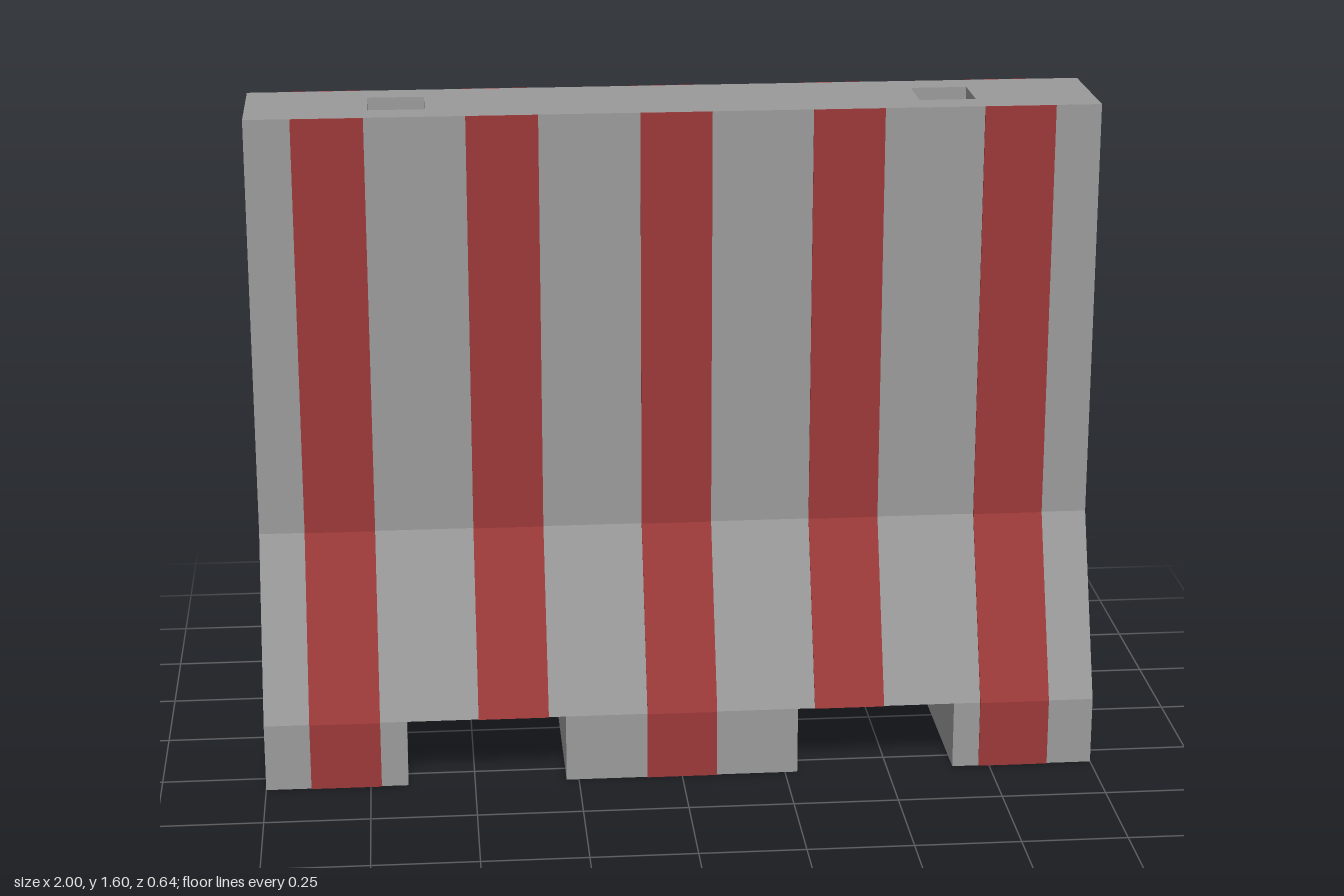
import * as THREE from 'three';

const FOOT = 0.165, KNEE = 0.59, POCKET = 1.45, TOP = 1.6;
const WIDE = 0.317, SLIM = 0.146;

// Half depth of the barrier at a given height
function depthAt(y) {
  if (y <= FOOT) return WIDE;
  if (y >= KNEE) return SLIM;
  return WIDE + (SLIM - WIDE) * (y - FOOT) / (KNEE - FOOT);
}

// Extrude a [z, y] outline along x from x0 to x1
function extrudeX(points, x0, x1) {
  const shape = new THREE.Shape(points.map(([z, y]) => new THREE.Vector2(z, y)));
  const geo = new THREE.ExtrudeGeometry(shape, { depth: x1 - x0, bevelEnabled: false });
  geo.rotateY(-Math.PI / 2);
  geo.translate(x1, 0, 0);
  return geo;
}

export function createModel() {
  const model = new THREE.Group();
  model.name = 'roadBarrier';
  const concrete = new THREE.MeshStandardMaterial({ color: 0x9a9a9a });
  concrete.name = 'concreteGrey';
  const red = new THREE.MeshStandardMaterial({ color: 0x9c3939 });
  red.name = 'stripeRed';

  const add = (name, geo, mat) => {
    const mesh = new THREE.Mesh(geo, mat);
    mesh.name = name;
    model.add(mesh);
  };

  // Flared lower body and upright wall
  add('wall', extrudeX([
    [-WIDE, FOOT], [WIDE, FOOT], [SLIM, KNEE], [SLIM, POCKET],
    [-SLIM, POCKET], [-SLIM, KNEE],
  ], -1, 1), concrete);

  // Top course with two square lifting pockets
  const rect = (path, x0, y0, x1, y1) =>
    path.moveTo(x0, y0).lineTo(x1, y0).lineTo(x1, y1).lineTo(x0, y1).closePath();
  const cap = rect(new THREE.Shape(), -1, -SLIM, 1, SLIM);
  for (const x of [-0.648, 0.648]) {
    cap.holes.push(rect(new THREE.Path(), x - 0.067, -0.067, x + 0.067, 0.067));
  }
  const capGeo = new THREE.ExtrudeGeometry(cap, { depth: TOP - POCKET, bevelEnabled: false });
  capGeo.rotateX(-Math.PI / 2);
  capGeo.translate(0, POCKET, 0);
  add('topWithPockets', capGeo, concrete);

  // Three feet separated by forklift slots
  for (const [x0, x1] of [[-1, -0.66], [-0.28, 0.28], [0.66, 1]]) {
    const foot = new THREE.BoxGeometry(x1 - x0, FOOT, WIDE * 2);
    foot.translate((x0 + x1) / 2, FOOT / 2, 0);
    add('foot', foot, concrete);
  }

  // Painted stripes: front ones run down the feet, back ones stop on the flare
  const stripe = (x, side, bottom) => {
    const heights = [bottom, FOOT, KNEE, TOP].filter((y, i) => i === 0 || y > bottom);
    const inner = heights.map((y) => [side * depthAt(y), y]);
    const outer = heights.map((y) => [side * (depthAt(y) + 0.003), y]).reverse();
    add(side > 0 ? 'frontStripe' : 'backStripe',
      extrudeX([...inner, ...outer], x - 0.084, x + 0.084), red);
  };
  for (const x of [-0.808, -0.405, 0, 0.405, 0.808]) {
    const overSlot = Math.abs(x) > 0.3 && Math.abs(x) < 0.6;
    stripe(x, 1, overSlot ? FOOT : 0);
    stripe(x, -1, overSlot ? FOOT : 0.18);
  }
  return model;
}
